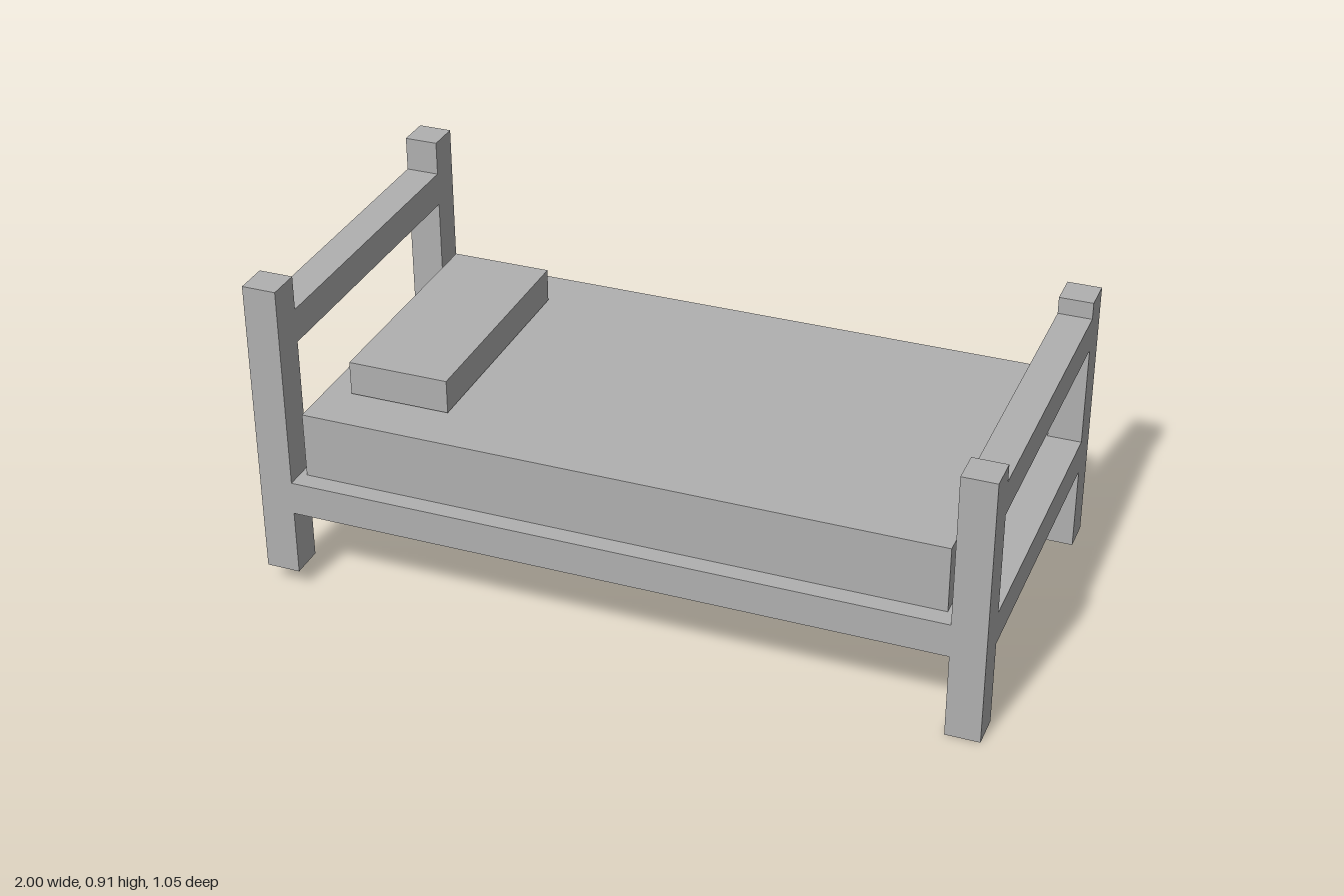
import * as THREE from 'three';

export function createModel() {
  const bed = new THREE.Group();
  bed.name = 'bed';
  const grey = new THREE.MeshStandardMaterial({ color: 0xb0b0b0 });
  grey.name = 'plain grey';

  const halfX = 1, halfZ = 0.523, post = 0.094;
  const innerX = halfX - post, innerZ = halfZ - post;

  // Box given by its lower and upper limits on each axis
  function addBox(name, [x0, x1], [y0, y1], [z0, z1]) {
    const mesh = new THREE.Mesh(new THREE.BoxGeometry(x1 - x0, y1 - y0, z1 - z0), grey);
    mesh.name = name;
    mesh.position.set((x0 + x1) / 2, (y0 + y1) / 2, (z0 + z1) / 2);
    bed.add(mesh);
  }

  // Bed base: slab with its corners notched out around the posts
  const outline = new THREE.Shape([
    [-innerX, -halfZ], [innerX, -halfZ], [innerX, -innerZ], [halfX, -innerZ],
    [halfX, innerZ], [innerX, innerZ], [innerX, halfZ], [-innerX, halfZ],
    [-innerX, innerZ], [-halfX, innerZ], [-halfX, -innerZ], [-innerX, -innerZ],
  ].map(([x, y]) => new THREE.Vector2(x, y)));
  const slab = new THREE.ExtrudeGeometry(outline, { depth: 0.095, bevelEnabled: false });
  slab.rotateX(-Math.PI / 2);
  const base = new THREE.Mesh(slab, grey);
  base.name = 'bedBase';
  base.position.y = 0.24;
  bed.add(base);

  // Head end is taller and its posts stop a little higher than the foot posts
  const ends = [
    { name: 'head', x: [-halfX, -innerX], legs: [0.053, 0.908], rail: [0.716, 0.812] },
    { name: 'foot', x: [innerX, halfX], legs: [0, 0.764], rail: [0.621, 0.716] },
  ];
  for (const { name, x, legs, rail } of ends) {
    addBox(name + 'PostFront', x, legs, [innerZ, halfZ]);
    addBox(name + 'PostBack', x, legs, [-halfZ, -innerZ]);
    addBox(name + 'Rail', x, rail, [-innerZ, innerZ]);
  }

  // Bedding
  addBox('mattress', [-0.887, 0.883], [0.335, 0.521], [-0.475, 0.471]);
  addBox('pillow', [-0.812, -0.53], [0.526, 0.621], [-0.334, 0.332]);

  return bed;
}
